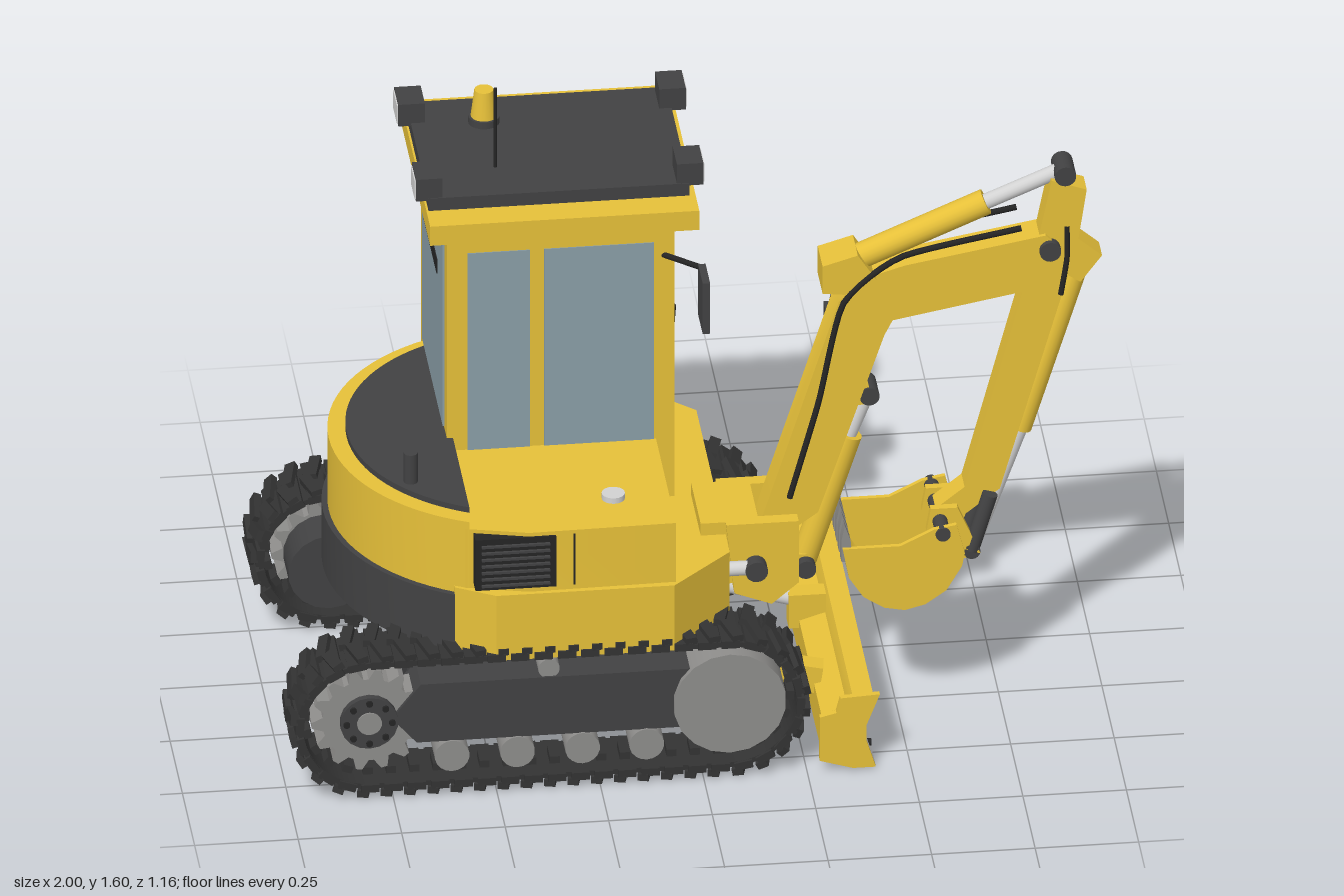
import * as THREE from 'three';
import { mergeGeometries, toCreasedNormals } from 'three/addons/utils/BufferGeometryUtils.js';

const mat = (name, color) => {
  const m = new THREE.MeshStandardMaterial({ color });
  m.name = name;
  return m;
};
const V = (x, y, z) => new THREE.Vector3(x, y, z);

export function createModel() {
  const yellow = mat('yellow paint', 0xe6c039), dark = mat('charcoal', 0x424243), rubber = mat('rubber', 0x333333);
  const glass = mat('glass', 0x8a9ea7), silver = mat('silver', 0xd2d2d2), steel = mat('steel grey', 0x8e8d8b), black = mat('black', 0x252525);
  const root = new THREE.Group();
  root.name = 'excavator';
  const ZC = 0.09, SX = -0.37, BZ = 0.247; // swing centre and boom plane

  // helpers
  const add = (name, geo, m, parent = root) => {
    const mesh = new THREE.Mesh(geo, m);
    mesh.name = name;
    parent.add(mesh);
    return mesh;
  };
  const group = (name) => {
    const g = new THREE.Group();
    g.name = name;
    root.add(g);
    return g;
  };
  // box given by its limits on each axis
  const box = (name, m, x0, x1, y0, y1, z0, z1, parent) => add(name,
    new THREE.BoxGeometry(x1 - x0, y1 - y0, z1 - z0).translate((x0 + x1) / 2, (y0 + y1) / 2, (z0 + z1) / 2), m, parent);
  const extrude = (pts, depth, holes = []) => {
    const s = new THREE.Shape(pts.map((p) => new THREE.Vector2(...p)));
    holes.forEach((h) => s.holes.push(new THREE.Path(h.map((p) => new THREE.Vector2(...p)))));
    return toCreasedNormals(new THREE.ExtrudeGeometry(s, { depth, bevelEnabled: false }), 0.5);
  };
  const side = (name, m, pts, z0, z1, parent, holes) => add(name, extrude(pts, z1 - z0, holes).translate(0, 0, z0), m, parent);
  const plan = (name, m, pts, y0, y1, parent) => add(name,
    extrude(pts.map(([x, z]) => [x, -z]), y1 - y0).rotateX(-Math.PI / 2).translate(0, y0, 0), m, parent);
  const rod = (name, m, a, b, r, parent, r2 = r) => {
    const d = b.clone().sub(a);
    const mesh = add(name, new THREE.CylinderGeometry(r2, r, d.length(), 18), m, parent);
    mesh.position.copy(a).addScaledVector(d, 0.5);
    mesh.quaternion.setFromUnitVectors(V(0, 1, 0), d.normalize());
    return mesh;
  };
  const pin = (name, m, x, y, r, z0, z1, parent) => rod(name, m, V(x, y, z0), V(x, y, z1), r, parent);
  const tube = (name, m, pts, r, parent) => add(name, new THREE.TubeGeometry(new THREE.CatmullRomCurve3(pts, false, 'catmullrom', 0.3), 32, r, 6), m, parent);
  // rear arc of the turning circle, cut off at x = cut
  const rearArc = (r, cut) => {
    const a = Math.acos((cut - SX) / r);
    return Array.from({ length: 33 }, (_, i) => {
      const t = a + (2 * Math.PI - 2 * a) * i / 32;
      return [SX + r * Math.cos(t), ZC + r * Math.sin(t)];
    });
  };

  // tracks: chain of pads with staggered lugs around two wheels
  const A = -0.805, B = 0.065, Y = 0.195, L = B - A, R = 0.172, N = 50;
  const stadium = (r) => Array.from({ length: 50 }, (_, i) => {
    const t = (i < 25 ? -Math.PI / 2 : Math.PI / 2) + Math.PI * (i % 25) / 24;
    return [(i < 25 ? B : A) + r * Math.cos(t), Y + r * Math.sin(t)];
  });
  const pads = [];
  for (let i = 0; i < N; i++) {
    let s = (i / N) * 2 * (L + Math.PI * R), cx, a;
    const half = s >= L + Math.PI * R;
    if (half) s -= L + Math.PI * R;
    if (s < L) { cx = half ? B - s : A + s; a = -Math.PI / 2; } else { cx = half ? A : B; a = -Math.PI / 2 + (s - L) / R; }
    if (half) a += Math.PI;
    const place = (w, h, d, r, z, along, yaw) => pads.push(new THREE.BoxGeometry(w, h, d).rotateY(yaw)
      .translate(along, r, z).rotateZ(a - Math.PI / 2).translate(cx, Y, 0));
    place(0.044, 0.02, 0.165, 0.17, 0, 0, 0);
    place(0.027, 0.018, 0.084, 0.185, 0.04, 0.008, 0.25);
    place(0.027, 0.018, 0.084, 0.185, -0.04, -0.008, -0.25);
    place(0.024, 0.022, 0.06, 0.152, 0, 0, 0);
  }
  const padGeo = mergeGeometries(pads);
  const gear = Array.from({ length: 56 }, (_, i) => {
    const r = i % 4 < 2 ? 0.138 : 0.112, t = i / 56 * Math.PI * 2;
    return [A + r * Math.cos(t), Y + r * Math.sin(t)];
  });
  for (const s of [1, -1]) {
    const g = group(s > 0 ? 'rightTrack' : 'leftTrack');
    g.position.z = ZC + s * 0.405;
    g.scale.z = s;
    add('trackPads', padGeo, rubber, g);
    side('trackBand', rubber, stadium(0.173), -0.075, 0.075, g, [stadium(0.16)]);
    side('trackFrame', dark, [[-0.75, 0.2], [-0.68, 0.29], [0.02, 0.29], [0.02, 0.13], [-0.69, 0.13]], -0.06, 0.055, g);
    side('sprocket', steel, gear, -0.04, 0.045, g);
    pin('sprocketHub', dark, A, Y, 0.07, -0.05, 0.062, g);
    pin('hubCap', steel, A, Y, 0.03, 0, 0.066, g);
    for (let i = 0; i < 8; i++) pin('hubBolt', black, A + 0.055 * Math.cos(i * Math.PI / 4), Y + 0.055 * Math.sin(i * Math.PI / 4), 0.008, 0.05, 0.068, g);
    pin('idler', steel, B, Y, 0.136, -0.06, 0.07, g);
    pin('travelMotor', dark, -0.815, Y, 0.1, -0.145, -0.04, g);
    for (const x of [-0.605, -0.447, -0.29, -0.135]) pin('roller', steel, x, 0.09, 0.042, -0.06, 0.06, g);
    pin('carrierRoller', steel, SX, 0.31, 0.026, -0.05, 0.05, g);
  }

  // undercarriage and turntable
  box('chassis', dark, -0.7, -0.02, 0.19, 0.285, -0.26, 0.44);
  rod('turntable', dark, V(SX, 0.27, ZC), V(SX, 0.322, ZC), 0.255);
  rod('slewRing', dark, V(SX, 0.32, ZC), V(SX, 0.37, ZC), 0.235);

  // dozer blade
  const blade = group('dozerBlade');
  side('mouldboard', yellow, [[0.36, 0.2], [0.41, 0.2], [0.385, 0.165], [0.37, 0.12], [0.37, 0.08], [0.385, 0.045], [0.405, 0.005], [0.365, 0.005], [0.34, 0.06], [0.34, 0.15]], -0.385, 0.565, blade);
  side('backFrame', yellow, [[0.285, 0.15], [0.35, 0.17], [0.35, 0.03], [0.285, 0.05]], -0.385, 0.565, blade);
  for (const z of [-0.4, 0.565]) side('endPlate', yellow, [[0.33, 0.2], [0.425, 0.205], [0.392, 0.12], [0.392, 0.08], [0.415, 0.005], [0.36, 0.005], [0.28, 0.03], [0.28, 0.15], [0.32, 0.16]], z, z + 0.015, blade);
  side('cuttingEdge', silver, [[0.392, 0.045], [0.4, 0.045], [0.416, 0.002], [0.405, 0.002]], -0.383, 0.563, blade);
  for (let i = 0; i < 7; i++) rod('edgeBolt', black, V(0.395, 0.025, -0.315 + i * 0.135), V(0.414, 0.025, -0.315 + i * 0.135), 0.009, blade);
  for (const s of [1, -1]) {
    const m = box('pushArm', yellow, -0.2, 0.22, -0.035, 0.035, -0.025, 0.025, blade);
    m.position.set(0.09, 0.19, ZC + s * 0.275);
    m.rotation.set(0, -s * 0.14, -0.15);
  }
  rod('liftBarrel', yellow, V(-0.02, 0.262, ZC), V(0.1, 0.25, ZC), 0.032, blade);
  rod('liftRod', silver, V(0.1, 0.25, ZC), V(0.27, 0.2, ZC), 0.018, blade);
  box('liftLug', yellow, 0.26, 0.35, 0.13, 0.22, ZC - 0.025, ZC + 0.025, blade);

  // upper body
  const body = group('upperBody');
  plan('platform', yellow, [[-0.595, -0.34], [-0.5, -0.393], [-0.07, -0.393], [0.08, -0.25], [0.08, 0.43], [-0.07, 0.573], [-0.5, 0.573], [-0.595, 0.52]], 0.357, 0.537, body);
  plan('counterweight', dark, rearArc(0.492, -0.595), 0.365, 0.52, body);
  plan('rearHousing', yellow, rearArc(0.478, -0.56), 0.52, 0.72, body);
  plan('rearDeck', dark, rearArc(0.435, -0.555), 0.72, 0.735, body);
  plan('engineBox', yellow, [[-0.57, 0.1], [-0.065, 0.1], [-0.065, 0.556], [-0.42, 0.562], [-0.57, 0.525]], 0.53, 0.7, body);
  rod('exhaust', dark, V(-0.68, 0.72, 0.343), V(-0.68, 0.815, 0.343), 0.017, body);
  rod('fuelCap', silver, V(-0.2, 0.695, 0.42), V(-0.2, 0.715, 0.42), 0.028, body);
  box('grille', black, -0.55, -0.355, 0.55, 0.69, 0.5, 0.566, body);
  for (let i = 0; i < 7; i++) box('grilleSlat', dark, -0.535, -0.37, 0.56 + i * 0.018, 0.566 + i * 0.018, 0.56, 0.572, body);
  box('panelSeam', black, -0.313, -0.308, 0.55, 0.69, 0.55, 0.5625, body);

  // cab
  const cab = group('cab');
  box('cabShell', yellow, -0.57, -0.02, 0.53, 1.3, -0.38, 0.15, cab);
  box('roof', yellow, -0.615, 0.035, 1.295, 1.348, -0.415, 0.19, cab);
  box('roofPanel', dark, -0.61, 0.02, 1.348, 1.382, -0.348, 0.115, cab);
  box('windscreen', glass, -0.021, -0.016, 0.68, 1.245, -0.325, 0.1, cab);
  box('rearWindow', glass, -0.574, -0.569, 0.74, 1.245, -0.325, 0.1, cab);
  box('rearVent', black, -0.576, -0.573, 1.1, 1.14, -0.28, -0.01, cab);
  for (const z of [-0.3825, 0.1485]) {
    box('frontSideWindow', glass, -0.335, -0.07, 0.69, 1.245, z, z + 0.004, cab);
    box('rearSideWindow', glass, -0.52, -0.37, 0.69, 1.245, z, z + 0.004, cab);
  }
  box('doorSeam', black, -0.359, -0.349, 0.56, 1.26, -0.385, -0.379, cab);
  box('doorHandle', black, -0.33, -0.26, 0.615, 0.635, -0.395, -0.379, cab);
  for (let i = 0; i < 5; i++) box('sideLouvre', black, -0.54, -0.4, 0.56 + i * 0.02, 0.565 + i * 0.02, -0.384, -0.379, cab);
  for (const [x, y0, y1] of [[-0.012, 0.67, 1.16], [-0.375, 0.7, 1.13]]) {
    rod('handrail', silver, V(x, y0, -0.405), V(x, y1, -0.405), 0.01, cab);
    for (const y of [y0 + 0.008, y1 - 0.008]) rod('railMount', silver, V(x, y, -0.405), V(x - 0.012, y, -0.375), 0.007, cab);
  }
  rod('wiper', black, V(-0.008, 0.99, 0.02), V(-0.008, 0.69, -0.115), 0.007, cab);
  for (const z of [-0.29, 0.07]) for (const s of [1, -1]) {
    const x = s > 0 ? 0.022 : -0.608;
    box('roofLight', dark, x - 0.032, x + 0.032, 1.375, 1.435, z - 0.043, z + 0.043, cab);
    box('lightLens', silver, x + s * 0.032 - 0.003, x + s * 0.032 + 0.003, 1.38, 1.43, z - 0.038, z + 0.038, cab);
  }
  rod('beaconBase', dark, V(-0.435, 1.38, -0.235), V(-0.435, 1.4, -0.235), 0.038, cab);
  rod('beacon', yellow, V(-0.435, 1.4, -0.235), V(-0.435, 1.472, -0.235), 0.032, cab, 0.023);
  rod('antenna', black, V(-0.433, 1.37, -0.018), V(-0.433, 1.6, -0.018), 0.004, cab);
  for (const [z0, z1, zc] of [[-0.37, -0.49, -0.533], [0.14, 0.26, 0.305]]) {
    rod('mirrorArm', black, V(-0.05, 1.205, z0), V(0.03, 1.232, z1), 0.007, cab);
    box('mirror', dark, 0.024, 0.042, 1.1, 1.24, zc - 0.047, zc + 0.047, cab);
  }

  // swing bracket
  const swing = group('swingBracket');
  side('swingBlock', yellow, [[0.02, 0.57], [0.16, 0.57], [0.16, 0.4], [0.07, 0.4], [0.02, 0.45]], 0.15, 0.345, swing);
  for (const z of [0.135, 0.325]) side('cheekPlate', yellow, [[0.08, 0.57], [0.255, 0.57], [0.255, 0.4], [0.19, 0.345], [0.1, 0.38]], z, z + 0.035, swing);
  rod('swingRod', silver, V(0.05, 0.455, 0.37), V(0.16, 0.455, 0.37), 0.018, swing);
  pin('swingPin', dark, 0.15, 0.455, 0.027, 0.33, 0.395, swing);
  pin('boomCylinderPin', dark, 0.28, 0.4, 0.024, 0.19, 0.305, swing);
  box('cylinderMount', yellow, 0.15, 0.29, 0.375, 0.43, 0.215, 0.28, swing);

  // boom
  const boom = group('boom');
  side('boomArm', yellow, [[0.17, 0.53], [0.36, 1.13], [0.42, 1.19], [0.52, 1.22], [0.86, 1.28], [0.9, 1.24], [0.87, 1.14], [0.49, 1.07], [0.47, 1.03], [0.31, 0.55], [0.24, 0.5]], BZ - 0.042, BZ + 0.042, boom);
  side('cylinderBracket', yellow, [[0.32, 1.16], [0.32, 1.235], [0.405, 1.26], [0.45, 1.19], [0.4, 1.15]], BZ - 0.05, BZ + 0.05, boom);
  rod('boomBarrel', yellow, V(0.28, 0.4, BZ), V(0.39, 0.74, BZ), 0.032, boom);
  rod('boomRod', silver, V(0.39, 0.74, BZ), V(0.437, 0.86, BZ), 0.019, boom);
  pin('boomRodPin', dark, 0.435, 0.86, 0.024, BZ - 0.04, BZ + 0.04, boom);
  side('rodLug', yellow, [[0.36, 0.83], [0.44, 0.84], [0.44, 0.88], [0.38, 0.92]], BZ - 0.035, BZ + 0.035, boom);
  rod('stickBarrel', yellow, V(0.37, 1.21, BZ), V(0.72, 1.36, BZ), 0.032, boom);
  rod('stickRod', silver, V(0.72, 1.36, BZ), V(0.905, 1.438, BZ), 0.019, boom);
  box('workLight', dark, 0.34, 0.39, 1.005, 1.05, 0.145, 0.208, boom);
  box('workLightLens', silver, 0.388, 0.395, 1.005, 1.05, 0.147, 0.195, boom);
  for (const s of [1, -1]) {
    const z = BZ + s * 0.051;
    tube('boomHose', black, [V(0.24, 0.6, z), V(0.31, 0.86, z), V(0.37, 1.13, z), V(0.51, 1.25, z), V(0.8, 1.31, z)], 0.0075, boom);
    tube('stickHose', black, [V(0.91, 1.31, z), V(0.91, 1.22, z), V(0.895, 1.12, z)], 0.007, boom);
  }
  pin('elbowPin', dark, 0.87, 1.24, 0.026, BZ - 0.055, BZ + 0.055, boom);

  // stick and its cylinder
  const stick = group('stick');
  side('stickArm', yellow, [[0.875, 1.425], [0.96, 1.395], [0.94, 1.26], [0.997, 1.21], [0.945, 1.14], [0.915, 1.16], [0.75, 0.58], [0.66, 0.51], [0.595, 0.49], [0.595, 0.535], [0.665, 0.59], [0.81, 1.14], [0.84, 1.25]], BZ - 0.032, BZ + 0.032, stick);
  pin('stickTopPin', dark, 0.908, 1.438, 0.026, BZ - 0.04, BZ + 0.04, stick);
  rod('bucketBarrel', yellow, V(0.94, 1.17, BZ), V(0.803, 0.73, BZ), 0.028, stick);
  rod('bucketRod', silver, V(0.803, 0.73, BZ), V(0.695, 0.43, BZ), 0.019, stick);
  for (const z of [BZ - 0.045, BZ + 0.045]) rod('bucketLink', dark, V(0.725, 0.575, z), V(0.68, 0.425, z), 0.019, stick);
  pin('linkPin', dark, 0.68, 0.425, 0.02, BZ - 0.06, BZ + 0.06, stick);

  // bucket: curved shell open at the top, side plates and teeth
  const bucket = group('bucket');
  const shell = [[0.36, 0.49], [0.375, 0.41], [0.41, 0.355], [0.46, 0.322], [0.51, 0.312], [0.56, 0.325], [0.61, 0.36], [0.648, 0.425]];
  const inner = shell.map(([x, y]) => [0.5 + (x - 0.5) * 0.92, 0.45 + (y - 0.45) * 0.9]).reverse();
  side('bucketShell', yellow, [...shell, ...inner], BZ - 0.12, BZ + 0.12, bucket);
  for (const z of [BZ - 0.124, BZ + 0.112]) side('bucketSide', yellow, [...shell, [0.655, 0.46], [0.635, 0.54], [0.58, 0.53], [0.5, 0.49]], z, z + 0.012, bucket);
  for (const z of [BZ - 0.06, BZ + 0.04]) side('bucketEar', yellow, [[0.63, 0.4], [0.7, 0.42], [0.645, 0.55], [0.58, 0.55], [0.57, 0.49]], z, z + 0.02, bucket);
  pin('bucketPin', dark, 0.602, 0.517, 0.018, BZ - 0.13, BZ + 0.13, bucket);
  for (let i = 0; i < 5; i++) {
    const z = BZ - 0.115 + i * 0.05;
    side('tooth', steel, [[0.358, 0.45], [0.385, 0.45], [0.38, 0.51], [0.366, 0.55], [0.358, 0.51]], z, z + 0.03, bucket);
  }
  for (const z of [-0.07, 0, 0.07]) side('wearStrip', steel, [[0.46, 0.316], [0.51, 0.306], [0.563, 0.319], [0.615, 0.356], [0.6, 0.36], [0.51, 0.32]], BZ + z - 0.006, BZ + z + 0.006, bucket);

  return root;
}
